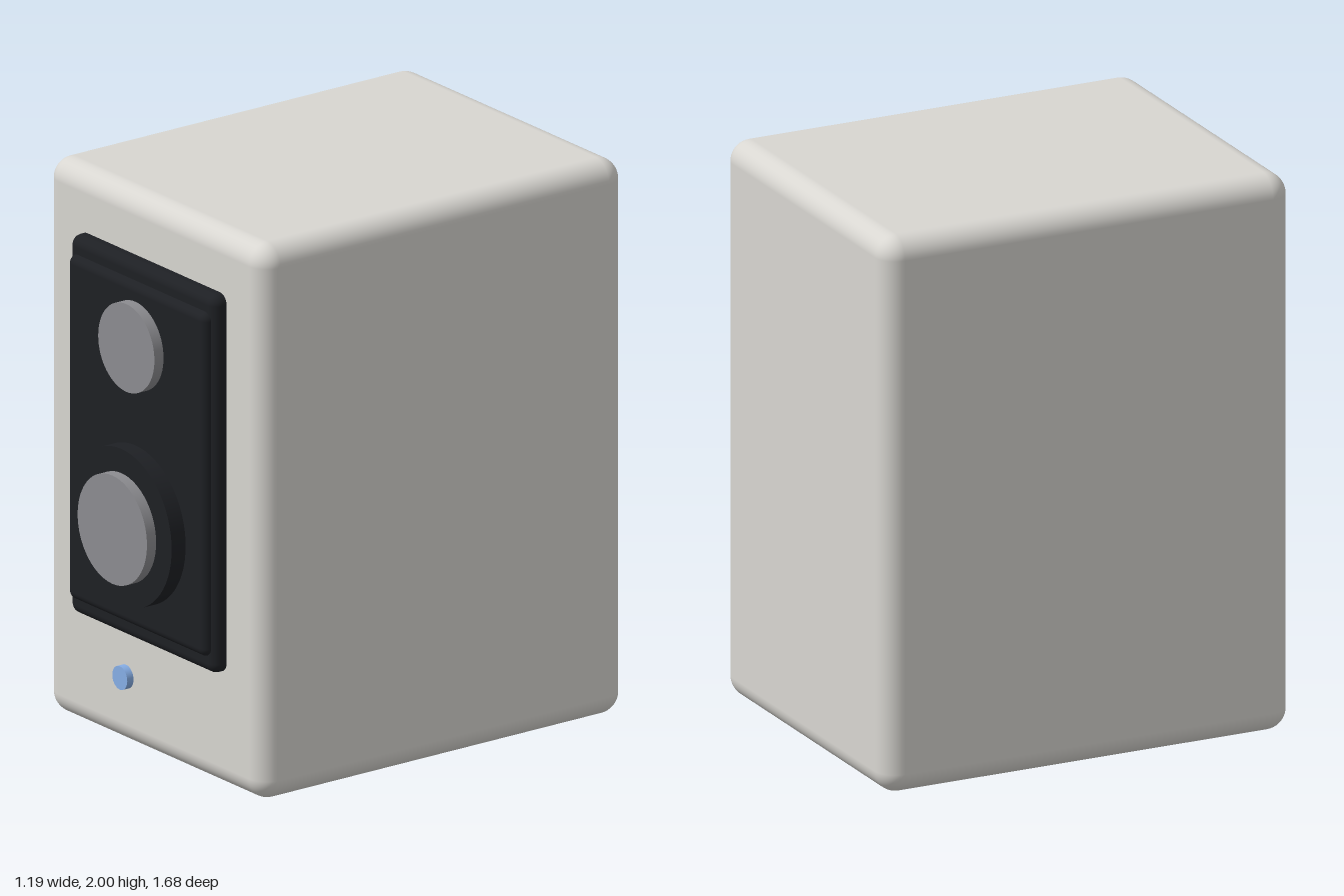
import * as THREE from 'three';
import { RoundedBoxGeometry } from 'three/addons/geometries/RoundedBoxGeometry.js';

const paint = (color) => new THREE.MeshStandardMaterial({ color });

export function createModel() {
  const model = new THREE.Group();
  const shell = paint(0xd8d6d1);
  const black = paint(0x1e2024);
  const rubber = paint(0x18181a);
  const cone = paint(0x8c8c90);
  const light = paint(0x86aee6);

  const add = (name, geometry, material, x, y, z) => {
    const mesh = new THREE.Mesh(geometry, material);
    mesh.name = name;
    mesh.position.set(x, y, z);
    model.add(mesh);
    return mesh;
  };

  // Rounded box given by its width and its y and z ranges
  const slab = (name, material, width, y0, y1, z0, z1, radius) =>
    add(name, new RoundedBoxGeometry(width, y1 - y0, z1 - z0, 6, radius),
      material, 0, (y0 + y1) / 2, (z0 + z1) / 2);

  // Disc facing the front, given by its z range
  const disc = (name, material, radius, y, z0, z1) => {
    const geometry = new THREE.CylinderGeometry(radius, radius, z1 - z0, 64);
    geometry.rotateX(Math.PI / 2);
    return add(name, geometry, material, 0, y, (z0 + z1) / 2);
  };

  // Cabinet and stepped front panel
  slab('cabinet', shell, 1.194, 0.052, 2, -0.838, 0.673, 0.075);
  slab('baffle', black, 0.8, 0.462, 1.79, 0.624, 0.724, 0.036);
  slab('innerPanel', black, 0.758, 0.522, 1.73, 0.66, 0.748, 0.03);

  // Drivers
  disc('tweeter', cone, 0.154, 1.515, 0.74, 0.786);
  disc('wooferRing', black, 0.275, 0.89, 0.74, 0.806);
  disc('wooferCone', cone, 0.19, 0.89, 0.8, 0.844);

  // Status light, set forward of the cabinet
  disc('statusLight', light, 0.041, 0.363, 0.787, 0.813);

  // Pair of feet
  for (const side of [-1, 1]) {
    add(side > 0 ? 'leftFoot' : 'rightFoot',
      new THREE.CylinderGeometry(0.041, 0.041, 0.07, 32), rubber, side * 0.335, 0.035, 0.22);
  }

  return model;
}
